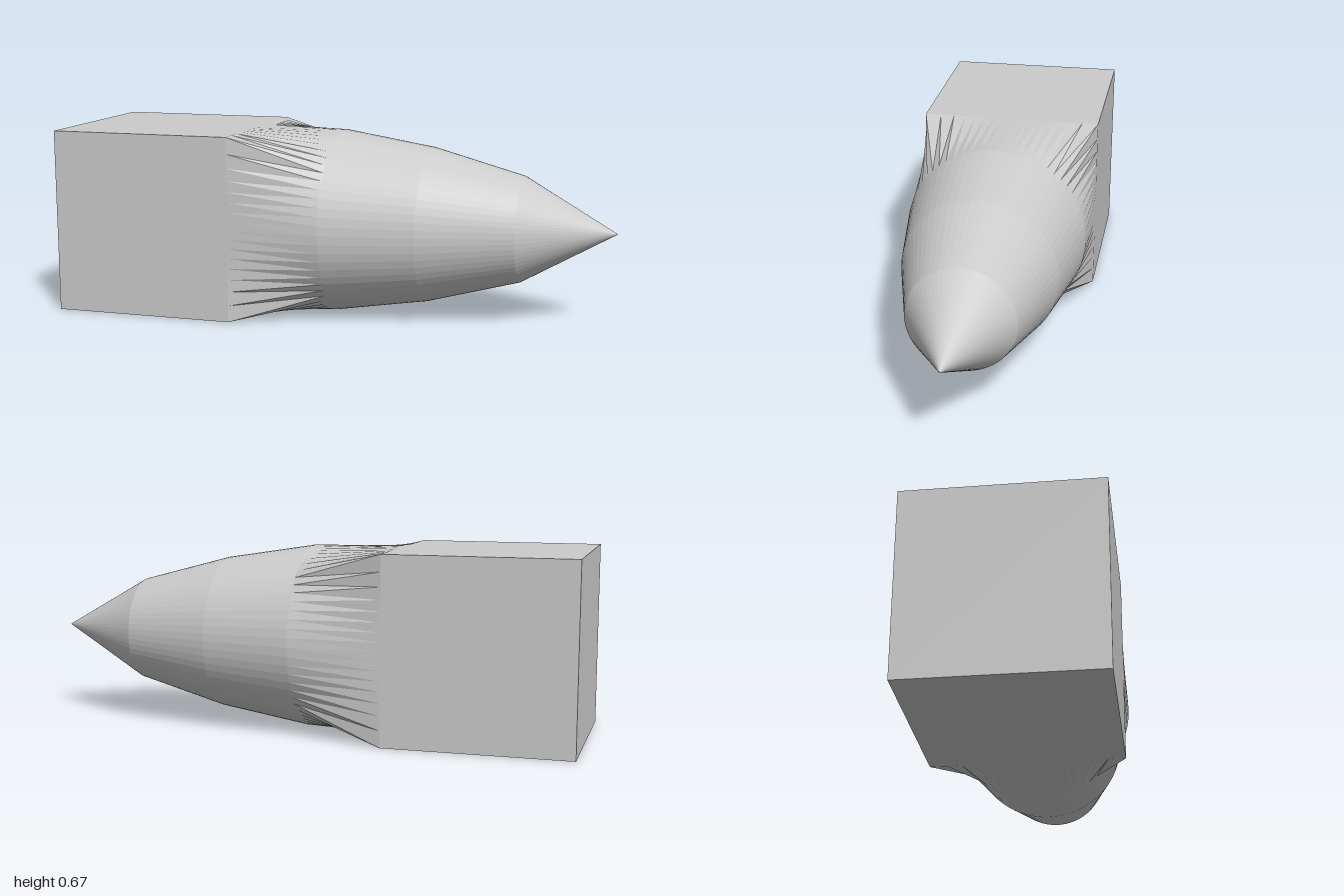
import * as THREE from 'three';

const R = 1 / 3;      // half width of the block and radius of the nose base
const SEGMENTS = 64;  // multiple of 8, so the square's corners fall on vertices

const circle = (r) => (a) => [r * Math.cos(a), r * Math.sin(a)];
const square = (h) => (a) => {
  const c = Math.cos(a), s = Math.sin(a);
  const k = h / Math.max(Math.abs(c), Math.abs(s));
  return [k * c, k * s];
};

// Skin between cross-sections placed along x; each section is { x, outline(angle) -> [y, z] }
function loft(sections) {
  const positions = [], indices = [];
  const row = SEGMENTS + 1;
  for (const { x, outline } of sections) {
    for (let i = 0; i <= SEGMENTS; i++) {
      positions.push(x, ...outline((i / SEGMENTS) * Math.PI * 2));
    }
  }
  for (let j = 0; j < sections.length - 1; j++) {
    for (let i = 0; i < SEGMENTS; i++) {
      const a = j * row + i, b = a + 1, c = b + row, d = a + row;
      indices.push(a, b, c, a, c, d);
    }
  }
  const geometry = new THREE.BufferGeometry();
  geometry.setAttribute('position', new THREE.Float32BufferAttribute(positions, 3));
  geometry.setIndex(indices);
  geometry.computeVertexNormals();
  return geometry;
}

export function createModel() {
  const group = new THREE.Group();
  group.name = 'pointedBlock';
  const material = new THREE.MeshStandardMaterial({ color: 0xcccccc, flatShading: true });

  const add = (name, geometry) => {
    const mesh = new THREE.Mesh(geometry, material);
    mesh.name = name;
    mesh.position.y = R;
    group.add(mesh);
    return mesh;
  };

  // Square rear block
  add('block', new THREE.BoxGeometry(2 * R, 2 * R, 2 * R)).position.x = -2 * R;

  // Square-to-round transition
  add('transition', loft([
    { x: -R, outline: square(R) },
    { x: 0, outline: circle(R) },
  ]));

  // Tapered nose ending in a point
  const profile = [[0, R], [R, 0.28], [2 * R, 0.19], [1, 0]];
  add('nose', loft(profile.map(([x, r]) => ({ x, outline: circle(r) }))));

  return group;
}
